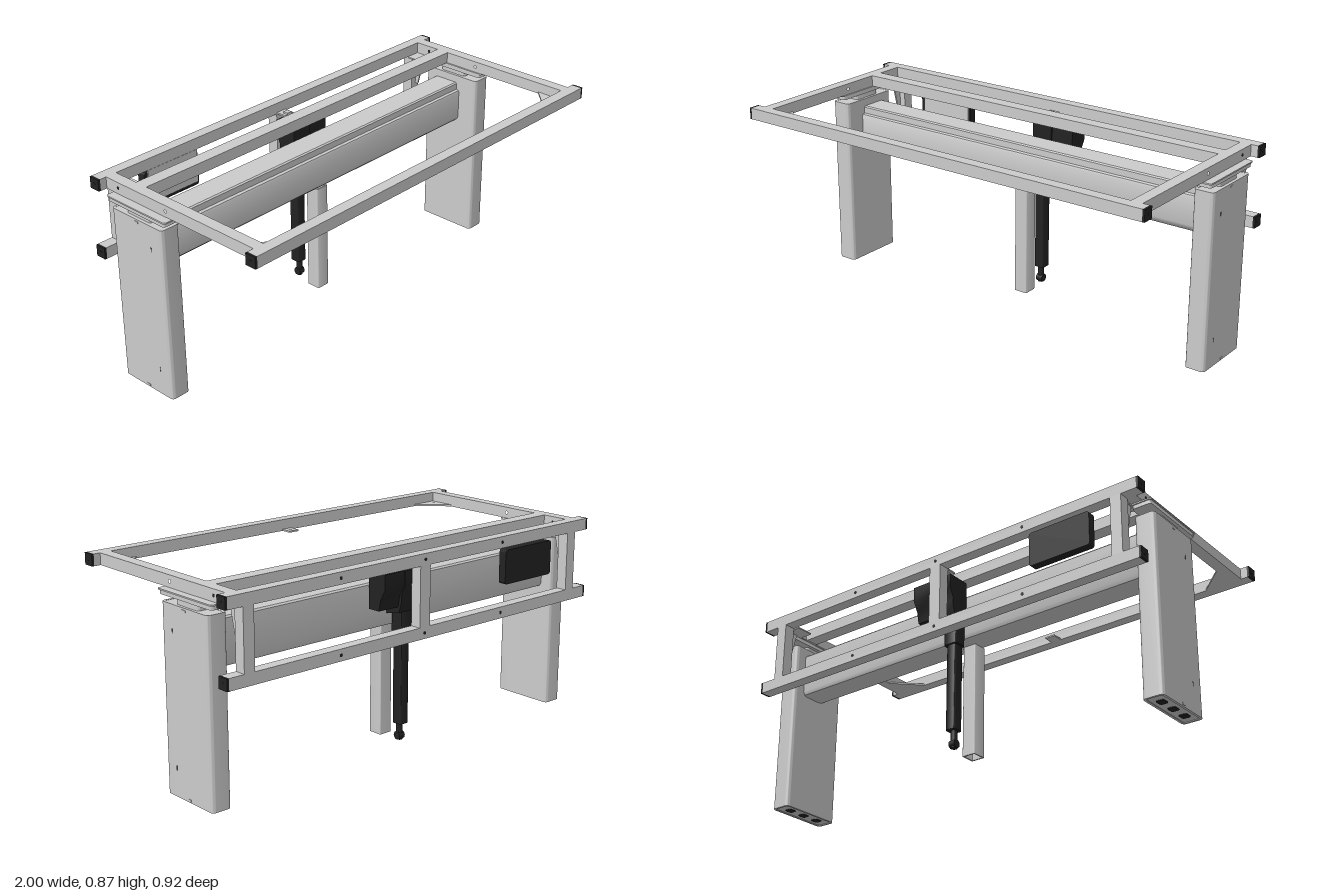
import * as THREE from 'three';
import { toCreasedNormals } from 'three/addons/utils/BufferGeometryUtils.js';

const grey = new THREE.MeshStandardMaterial({ color: 0xcccccc });
const black = new THREE.MeshStandardMaterial({ color: 0x222222 });

export function createModel() {
  const root = new THREE.Group();

  function add(name, geometry, material = grey) {
    const mesh = new THREE.Mesh(geometry, material);
    mesh.name = name;
    root.add(mesh);
    return mesh;
  }
  // Box given by its limits on each axis
  function box(name, x0, x1, y0, y1, z0, z1, material) {
    const g = new THREE.BoxGeometry(Math.abs(x1 - x0), Math.abs(y1 - y0), Math.abs(z1 - z0));
    g.translate((x0 + x1) / 2, (y0 + y1) / 2, (z0 + z1) / 2);
    return add(name, g, material);
  }
  function extrude(shape, depth) {
    const g = new THREE.ExtrudeGeometry(shape, { depth, bevelEnabled: false, curveSegments: 6 });
    return toCreasedNormals(g, 0.6);
  }
  // Profile of [z, y] points swept along x
  function sweepX(name, points, x0, x1, material, holes = []) {
    const shape = new THREE.Shape(points.map(([z, y]) => new THREE.Vector2(-z, y)));
    for (const [z, y, r] of holes) shape.holes.push(new THREE.Path().absarc(-z, y, r, 0, Math.PI * 2, true));
    const g = extrude(shape, Math.abs(x1 - x0));
    g.rotateY(Math.PI / 2).translate(Math.min(x0, x1), 0, 0);
    return add(name, g, material);
  }
  // Plan of [x, z] points raised along y
  function raise(name, shape, y0, y1, material) {
    const g = extrude(shape, y1 - y0);
    g.rotateX(-Math.PI / 2).translate(0, y0, 0);
    return add(name, g, material);
  }
  function roundedRect(x0, x1, z0, z1, r, Type = THREE.Shape) {
    const s = new Type(), H = Math.PI / 2, a = -z1, b = -z0;
    s.absarc(x1 - r, a + r, r, -H, 0);
    s.absarc(x1 - r, b - r, r, 0, H);
    s.absarc(x0 + r, b - r, r, H, 2 * H);
    s.absarc(x0 + r, a + r, r, 2 * H, 3 * H);
    s.closePath();
    return s;
  }
  function disc(name, x, y, z, r, axis) {
    const g = new THREE.CylinderGeometry(r, r, 0.002, 12);
    if (axis === 'x') g.rotateZ(Math.PI / 2);
    if (axis === 'z') g.rotateX(Math.PI / 2);
    add(name, g.translate(x, y, z), black);
  }

  // Long rails with black end caps
  const rails = [['frontRail', 0.82, 0.41], ['backRail', 0.82, -0.46], ['lowerBackRail', 0.515, -0.46]];
  for (const [name, y, z] of rails) {
    box(name, -0.99, 0.99, y, y + 0.05, z, z + 0.05);
    for (const s of [-1, 1]) {
      box('railEndCap', s * 0.99, s, y, y + 0.05, z, z + 0.05, black);
      disc('capScrew', s, y + 0.025, z + 0.025, 0.006, 'x');
    }
    const face = z > 0 ? z + 0.05 : z;
    if (z < 0) for (const x of [-0.45, 0, 0.45]) disc('railHole', x, y + 0.025, face, 0.007, 'z');
  }
  box('crossRail', -0.91, 0.91, 0.82, 0.87, -0.29, -0.23);

  // Crossbeam between the legs
  sweepX('crossbeam', [
    [-0.165, 0.735], [-0.172, 0.74], [-0.283, 0.74], [-0.29, 0.733], [-0.29, 0.56], [-0.282, 0.545],
    [-0.268, 0.54], [-0.19, 0.54], [-0.172, 0.545], [-0.155, 0.56], [-0.15, 0.575],
    [-0.15, 0.695], [-0.153, 0.703], [-0.165, 0.707],
  ], -0.905, 0.905);

  for (const s of [-1, 1]) {
    // Side rail with a drilled hole
    sweepX('sideRail', [[0.41, 0.82], [0.41, 0.87], [-0.41, 0.87], [-0.41, 0.82]],
      s * 0.91, s * 0.96, grey, [[-0.065, 0.845, 0.007]]);
    disc('sideRailBolt', s * 0.96, 0.845, -0.34, 0.007, 'x');
    disc('sideRailBolt', s * 0.91, 0.845, -0.34, 0.007, 'x');

    // Lifting leg: outer sleeve, inner column and mounting plate
    const [xa, xb] = s > 0 ? [0.905, 0.995] : [-0.995, -0.905];
    const sleeve = roundedRect(xa, xb, -0.345, -0.055, 0.016);
    sleeve.holes.push(roundedRect(xa + 0.01, xb - 0.01, -0.335, -0.065, 0.008, THREE.Path));
    raise('legSleeve', sleeve, 0, 0.775);
    raise('legFootPlate', roundedRect(xa + 0.01, xb - 0.01, -0.335, -0.065, 0.008), 0.003, 0.012);
    for (const z of [-0.28, -0.2, -0.12])
      raise('footSlot', roundedRect(s * 0.95 - 0.018, s * 0.95 + 0.018, z - 0.02, z + 0.02, 0.01), 0.001, 0.004, black);
    raise('legTopPlate', roundedRect(xa + 0.008, xb - 0.008, -0.337, -0.063, 0.008), 0.766, 0.774);
    raise('innerColumn', roundedRect(xa + 0.015, xb - 0.015, -0.27, -0.135, 0.01), 0.7, 0.8);
    raise('mountingPlate', roundedRect(xa, xb - 0.004, -0.365, -0.037, 0.012), 0.798, 0.814);
    raise('mountingPlateLip', roundedRect(xa - 0.003, xb, -0.37, -0.03, 0.012), 0.814, 0.82);
    for (const y of [0.67, 0.12]) box('legSlot', s * 0.994, s * 0.996, y - 0.01, y + 0.01, -0.123, -0.12, black);
    for (const y of [0.01, 0.763]) box('legTab', s * 0.994, s * 0.997, y - 0.004, y + 0.004, -0.21, -0.19);

    // Rear post and its bracket
    box('rearPost', s * 0.87, s * 0.92, 0.565, 0.82, -0.46, -0.41);
    sweepX('rearBracket', [[-0.36, 0.82], [-0.395, 0.67], [-0.41, 0.67], [-0.41, 0.82]], s * 0.898, s * 0.905);
    box('rearBracketFlange', s * 0.84, s * 0.91, 0.814, 0.82, -0.41, -0.33);
    disc('bracketHole', s * 0.86, 0.82, -0.35, 0.006, 'y');

    // Front corner gusset
    const gusset = new THREE.Shape();
    gusset.moveTo(s * 0.91, -0.41);
    gusset.lineTo(s * 0.79, -0.41);
    gusset.lineTo(s * 0.91, -0.29);
    gusset.closePath();
    raise('cornerGusset', gusset, 0.82, 0.828);
    disc('gussetHole', s * 0.878, 0.828, 0.372, 0.006, 'y');
  }

  // Centre post, centre tabs
  box('centrePost', -0.028, 0.028, 0.565, 0.82, -0.46, -0.41);
  for (const z of [0.36, -0.41]) {
    box('centreTab', -0.025, 0.025, 0.82, 0.827, z, z + 0.05);
    disc('tabHole', 0, 0.827, z + 0.025, 0.007, 'y');
  }

  // Hollow centre column below the beam
  const column = roundedRect(-0.035, 0.028, -0.23, -0.165, 0.004);
  column.holes.push(roundedRect(-0.029, 0.022, -0.224, -0.171, 0.002, THREE.Path));
  raise('centreColumn', column, 0.045, 0.542);

  // Linear actuator with motor housing
  sweepX('motorHousing', [[-0.297, 0.797], [-0.405, 0.797], [-0.405, 0.735], [-0.384, 0.69],
    [-0.384, 0.66], [-0.37, 0.615], [-0.297, 0.6]], -0.038, 0.06, black);
  sweepX('motorBody', [[-0.305, 0.797], [-0.4, 0.797], [-0.4, 0.735], [-0.375, 0.69],
    [-0.365, 0.64], [-0.305, 0.64]], 0.06, 0.165, black);
  raise('actuatorCollar', roundedRect(-0.033, 0.033, -0.357, -0.295, 0.01), 0.5, 0.62, black);
  raise('actuatorTube', roundedRect(-0.024, 0.024, -0.348, -0.297, 0.01), 0.12, 0.51, black);
  add('actuatorRod', new THREE.CylinderGeometry(0.014, 0.014, 0.08, 16).translate(0, 0.085, -0.318), black);
  add('actuatorEye', new THREE.CylinderGeometry(0.018, 0.018, 0.03, 16).rotateZ(Math.PI / 2)
    .translate(0, 0.063, -0.318), black);
  box('actuatorHanger', -0.012, 0.012, 0.79, 0.835, -0.385, -0.36);

  // Control box on the rear frame
  const caseGeo = extrude(roundedRect(-0.768, -0.48, 0.655, 0.805, 0.012), 0.036);
  caseGeo.scale(1, -1, -1).translate(0, 0, -0.418);
  add('controlBox', caseGeo, black);
  box('controlBoxPlate', -0.75, -0.488, 0.67, 0.818, -0.418, -0.412);
  for (const x of [-0.72, -0.62, -0.52]) disc('plateScrew', x, 0.755, -0.412, 0.005, 'z');

  return root;
}
